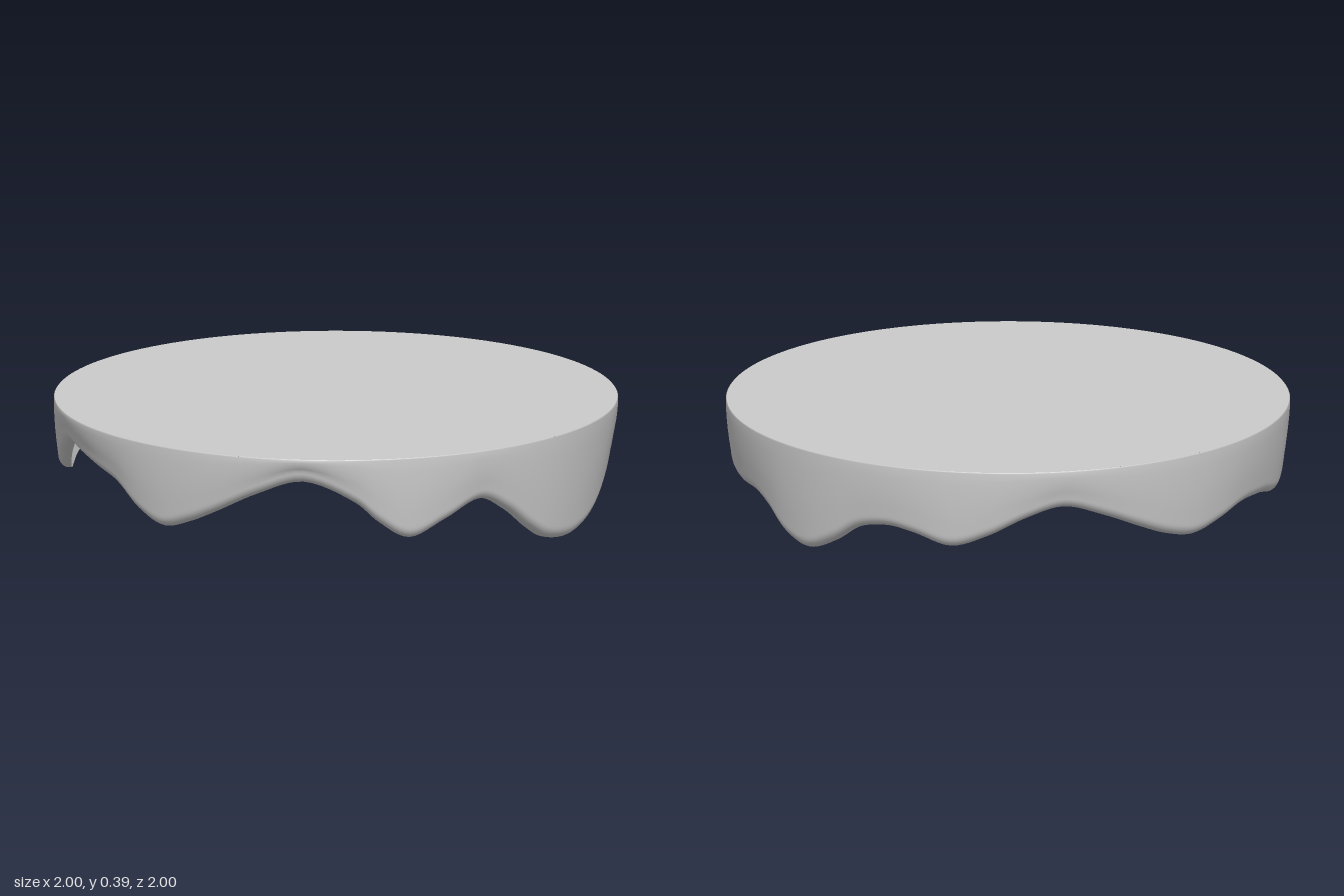
import * as THREE from 'three';

const SEGMENTS = 288;
const TOP = 0.388;
const CEILING = 0.368; // underside of the thin top
const INNER = 0.967; // inside radius at the ceiling
const RIM = 0.937; // inside radius at the lower edge

// Lower edge of the icing: [degrees from the front towards +x, height]
const EDGE = [
  [-6, 0.165], [4, 0.247], [14, 0.298], [25, 0.222], [30, 0.15], [36.5, 0.09], [44.5, 0.145], [53, 0.205],
  [60, 0.148], [66, 0.07], [71, 0.02], [78, 0], [84, 0.015], [90, 0.055], [97, 0.13], [103, 0.2], [110, 0.228],
  [118, 0.202], [126, 0.16], [134, 0.149], [143, 0.149], [149, 0.115], [155, 0.05], [162, 0.02],
  [169, 0.065], [176, 0.137], [183, 0.157], [189, 0.14], [197, 0.103], [205, 0.145], [213, 0.21],
  [221, 0.248], [230, 0.205], [238, 0.15], [245, 0.105], [252, 0.083], [260, 0.11], [268, 0.142],
  [277, 0.137], [287, 0.112], [296, 0.205], [304, 0.277], [313, 0.263], [321, 0.238], [328, 0.207],
  [335, 0.13], [341.5, 0.09], [348, 0.12],
];

// Outer face above a lower edge at height b: almost upright, then a small rounded lip
function outerSection(b) {
  const lip = b + 0.045;
  const points = [[0.997, TOP], [1, TOP - 0.004]];
  for (let k = 1; k <= 5; k++) {
    const t = k / 5;
    points.push([1 - 0.015 * t * t, THREE.MathUtils.lerp(TOP - 0.004, lip, t)]);
  }
  for (let k = 1; k <= 7; k++) {
    const t = (k / 7) * Math.PI / 2;
    points.push([0.95 + 0.035 * Math.cos(t), lip - 0.045 * Math.sin(t)]);
  }
  points.push([RIM, b]);
  return points;
}

// Inner face, following the outer one up to the ceiling
function innerSection(b) {
  const points = [];
  for (let k = 0; k <= 6; k++) {
    const t = k / 6;
    points.push([THREE.MathUtils.lerp(INNER, RIM, (1 - t) ** 2), THREE.MathUtils.lerp(b, CEILING, t)]);
  }
  return points;
}

// Sweeps a section round the wavy edge curve
function skirtGeometry(section) {
  const curve = new THREE.CatmullRomCurve3(EDGE.map(([deg, y]) => {
    const a = THREE.MathUtils.degToRad(deg);
    return new THREE.Vector3(Math.sin(a), y, Math.cos(a));
  }), true, 'centripetal');
  const rows = section(0).length;
  const positions = [], indices = [];
  for (let i = 0; i < SEGMENTS; i++) {
    const p = curve.getPoint(i / SEGMENTS);
    const a = Math.atan2(p.x, p.z);
    for (const [r, y] of section(Math.max(0, p.y))) positions.push(r * Math.sin(a), y, r * Math.cos(a));
    const next = (i + 1) % SEGMENTS;
    for (let j = 0; j < rows - 1; j++) {
      const u = i * rows + j, v = next * rows + j;
      indices.push(u, u + 1, v, v, u + 1, v + 1);
    }
  }
  const geometry = new THREE.BufferGeometry();
  geometry.setAttribute('position', new THREE.Float32BufferAttribute(positions, 3));
  geometry.setIndex(indices);
  geometry.computeVertexNormals();
  return geometry;
}

export function createModel() {
  const group = new THREE.Group();
  group.name = 'drippingIcing';
  const material = new THREE.MeshStandardMaterial({ color: 0xcccccc });
  const add = (name, geometry) => {
    const mesh = new THREE.Mesh(geometry, material);
    mesh.name = name;
    group.add(mesh);
    return mesh;
  };

  // Wavy skirt with rounded drips, and its inside
  add('dripSkirt', skirtGeometry(outerSection));
  add('skirtInside', skirtGeometry(innerSection));

  // Flat top and the flat underside within the skirt
  const top = add('topSurface', new THREE.CircleGeometry(0.997, SEGMENTS));
  top.rotation.x = -Math.PI / 2;
  top.position.y = TOP;
  const under = add('underside', new THREE.CircleGeometry(INNER, SEGMENTS));
  under.rotation.x = Math.PI / 2;
  under.position.y = CEILING;

  return group;
}
